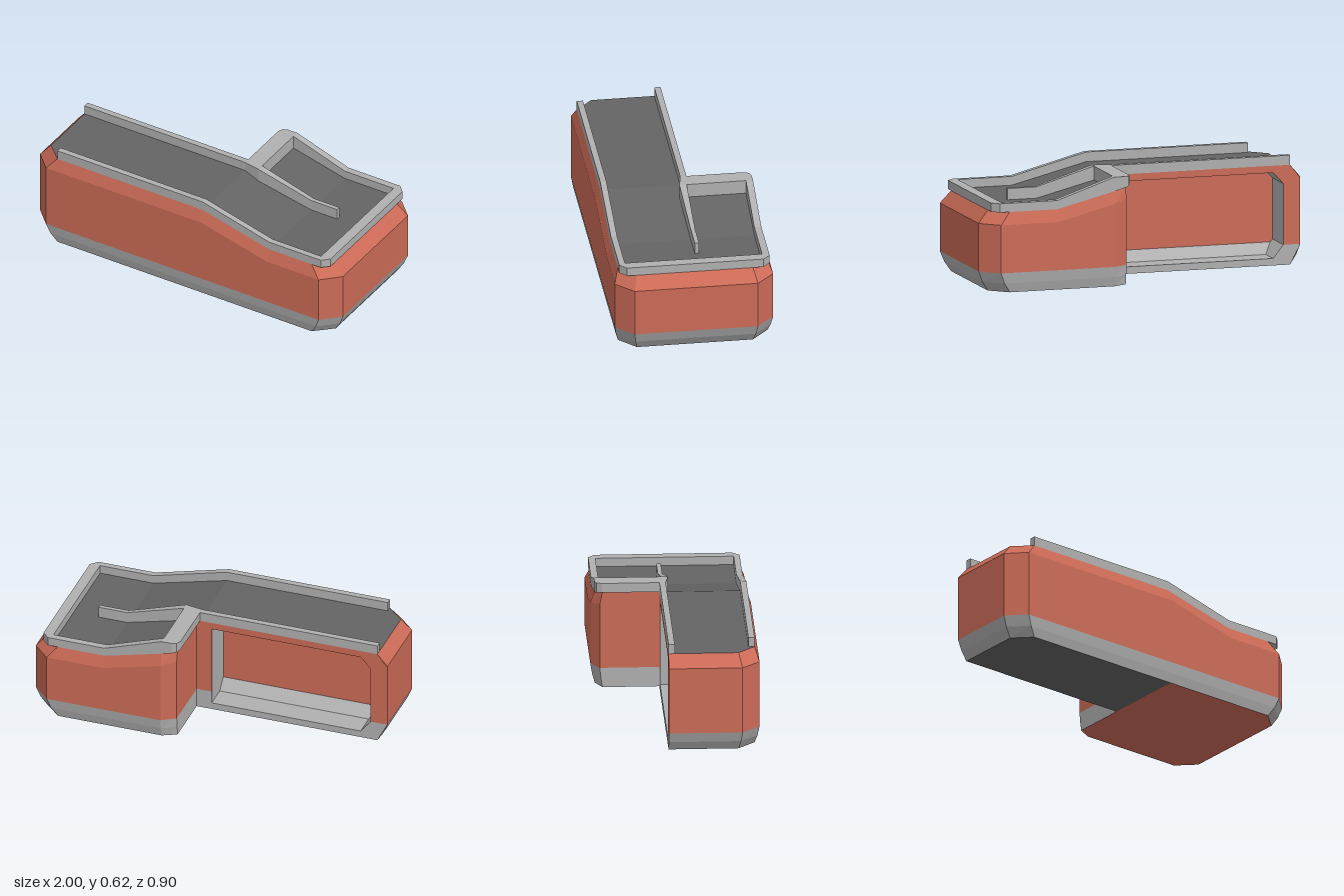
import * as THREE from 'three';

const mat = (name, color) => {
  const m = new THREE.MeshStandardMaterial({ color, side: THREE.DoubleSide });
  m.name = name;
  return m;
};

// Height of the deck and of the raised rear rim along x
const ramp = (start, high, low) => x =>
  high + (low - high) * THREE.MathUtils.clamp((x - start) / (0.56 - start), 0, 1);
const deckY = ramp(0.12, 0.57, 0.46);
const sideRimY = ramp(0.12, 0.625, 0.51);
const rearRimY = ramp(0.22, 0.625, 0.51);
const dividerY = ramp(0.22, 0.625, 0.525);

function geometry(tris) {
  const g = new THREE.BufferGeometry();
  g.setAttribute('position', new THREE.Float32BufferAttribute(tris.flat(), 3));
  g.computeVertexNormals();
  return g;
}
const quad = (a, b, c, d) => [a, b, c, a, c, d];

// Part of a plan polygon [x, z] between two x values
function clip(poly, min, max) {
  for (const [limit, sign] of [[min, 1], [max, -1]]) {
    const out = [];
    poly.forEach((a, i) => {
      const b = poly[(i + 1) % poly.length];
      const da = (a[0] - limit) * sign, db = (b[0] - limit) * sign;
      if (da >= 0) out.push(a);
      if (da * db < 0) out.push([limit, a[1] + (b[1] - a[1]) * da / (da - db)]);
    });
    poly = out;
  }
  return poly;
}

// Plan polygon laid on a height rule, facing up or down
function cap(poly, height, up) {
  if (poly.length < 3) return [];
  const tris = [];
  const flat = poly.map(([x, z]) => new THREE.Vector2(x, -z));
  for (const f of THREE.ShapeUtils.triangulateShape(flat, [])) {
    const area = THREE.ShapeUtils.area(f.map(i => flat[i]));
    if (Math.abs(area) < 1e-9) continue;
    const order = (area > 0) === up ? f : [f[0], f[2], f[1]];
    for (const i of order) tris.push([poly[i][0], height(poly[i][0]), poly[i][1]]);
  }
  return tris;
}

function sheet(poly, height, up, breaks) {
  const xs = [-1.1, ...breaks, 1.1];
  return xs.slice(1).flatMap((x, i) => cap(clip(poly, xs[i], x), height, up));
}

// Solid between two height rules, bent at the given x breaks
function prism(poly, lo, hi, breaks) {
  if (THREE.ShapeUtils.area(poly.map(([x, z]) => new THREE.Vector2(x, -z))) < 0) poly = [...poly].reverse();
  const tris = [...sheet(poly, lo, false, breaks), ...sheet(poly, hi, true, breaks)];
  poly.forEach((a, i) => {
    const b = poly[(i + 1) % poly.length];
    const ts = breaks.map(x => (x - a[0]) / (b[0] - a[0])).filter(t => t > 0 && t < 1).sort((p, q) => p - q);
    const pts = [0, ...ts, 1].map(t => [a[0] + (b[0] - a[0]) * t, a[1] + (b[1] - a[1]) * t]);
    for (let k = 0; k + 1 < pts.length; k++) {
      const [p, q] = [pts[k], pts[k + 1]];
      tris.push(...quad([p[0], lo(p[0]), p[1]], [q[0], lo(q[0]), q[1]],
        [q[0], hi(q[0]), q[1]], [p[0], hi(p[0]), p[1]]));
    }
  });
  return geometry(tris);
}

// Walls between successive rings of 3D points
function loft(rings) {
  const tris = [];
  for (let r = 0; r + 1 < rings.length; r++)
    for (let i = 0; i + 1 < rings[r].length; i++)
      tris.push(...quad(rings[r][i], rings[r][i + 1], rings[r + 1][i + 1], rings[r + 1][i]));
  return geometry(tris);
}

// Upright polygon [x, y] facing the back
function backPanel(pts, z) {
  const g = new THREE.ShapeGeometry(new THREE.Shape(pts.map(([x, y]) => new THREE.Vector2(-x, y))));
  return g.rotateY(Math.PI).translate(0, 0, z);
}

export function createModel() {
  const group = new THREE.Group();
  const orange = mat('orange', 0xcc6b57);
  const lightGrey = mat('light grey', 0xb0b0b0);
  const darkGrey = mat('dark grey', 0x646464);
  const add = (name, geo, material) => {
    const m = new THREE.Mesh(geo, material);
    m.name = name;
    group.add(m);
  };

  // L-shaped plan at full width, and drawn in for the chamfered edges
  const back = -0.065;
  const full = [[-1, back], [-1, 0.35], [-0.9, 0.45], [0.12, 0.45], [0.56, 0.45], [0.9, 0.45], [1, 0.35],
    [1, -0.35], [0.9, -0.45], [0.56, -0.45], [0.22, -0.45], [0.14, -0.4], [0.14, back]];
  const inset = [[-0.94, back], [-0.94, 0.33], [-0.84, 0.425], [0.12, 0.425], [0.56, 0.425], [0.84, 0.425], [0.94, 0.33],
    [0.94, -0.33], [0.84, -0.425], [0.56, -0.425], [0.22, -0.425], [0.14, -0.385], [0.14, back]];
  const ring = (t, height) => full.map(([x, z], i) => {
    const px = x + (inset[i][0] - x) * t, pz = z + (inset[i][1] - z) * t;
    return [px, height(px), pz];
  });

  // Outer walls
  add('baseBand', loft([ring(1, () => 0), ring(0.4, () => 0.055), ring(0, () => 0.115)]), lightGrey);
  add('bodyWalls', loft([ring(0, () => 0.115), ring(0, x => deckY(x) - 0.07), ring(1, deckY)]), orange);

  // Underside in two colours
  add('mainUnderside', geometry(cap(clip(inset, -1, 0.139), () => 0, false)), darkGrey);
  add('wingUnderside', geometry(cap(clip(inset, 0.139, 1), () => 0, false)), orange);

  // Deck
  add('deck', geometry(sheet(inset, deckY, true, [0.12, 0.56])), darkGrey);

  // Rear frame around the open bay
  add('bayLowerFrame', backPanel([[-0.94, 0], [0.14, 0], [0.14, 0.115], [0.05, 0.115], [0.05, 0.04],
    [-0.84, 0.04], [-0.9, 0.115], [-1, 0.115]], back), lightGrey);
  add('bayUpperFrame', backPanel([[-1, 0.115], [-0.9, 0.115], [-0.9, 0.465], [-0.84, 0.53], [0.05, 0.53],
    [0.05, 0.115], [0.14, 0.115], [0.14, 0.565], [0.12, 0.57], [-0.94, 0.57], [-1, 0.495]], back), orange);

  // Bay lining
  const bay = [[0.05, 0.53], [0.05, 0.04], [-0.84, 0.04], [-0.9, 0.115], [-0.9, 0.465], [-0.84, 0.53]];
  const inner = 0.13;
  const at = z => bay.map(([x, y]) => [x, y, z]);
  add('bayLining', loft([at(back), at(inner)]), lightGrey);
  add('bayCeiling', geometry(quad([-0.84, 0.53, back], [0.05, 0.53, back],
    [0.05, 0.53, inner], [-0.84, 0.53, inner])), darkGrey);
  add('bayFloorCove', geometry(quad([0.05, 0.04, 0.07], [-0.84, 0.04, 0.07],
    [-0.885, 0.1, inner - 0.002], [0.05, 0.1, inner - 0.002])), lightGrey);
  add('bayBackWall', backPanel(bay, inner), orange);

  // Rim around the deck
  add('frontRim', prism([[-0.84, 0.425], [0.9, 0.425], [0.94, 0.385], [0.94, -0.39], [0.88, -0.39],
    [0.88, 0.39], [-0.84, 0.39]], deckY, sideRimY, [0.12, 0.56]), lightGrey);
  add('rearRim', prism([[0.94, -0.39], [0.9, -0.43], [0.16, -0.43], [0.133, -0.419], [0.12, -0.39], [0.12, back],
    [-0.94, back], [-0.94, -0.03], [0.22, -0.03], [0.22, -0.39]], deckY, rearRimY, [0.12, 0.22, 0.56]), lightGrey);
  add('divider', prism([[0.12, -0.03], [0.22, -0.012], [0.56, -0.028], [0.73, -0.028], [0.73, -0.053],
    [0.22, -0.053], [0.12, -0.04]], deckY, dividerY, [0.12, 0.22, 0.56]), lightGrey);

  return group;
}
